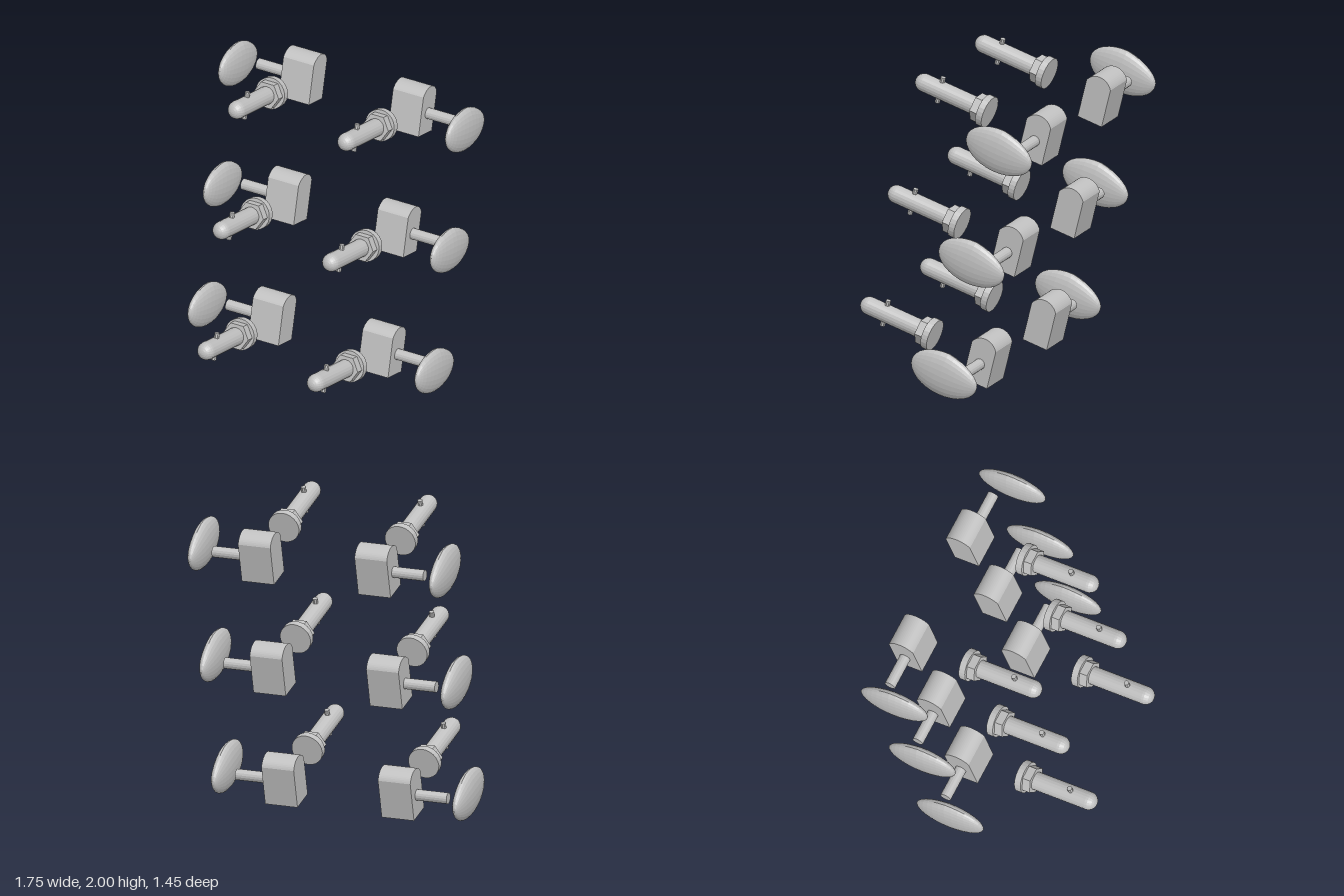
import * as THREE from 'three';

const metal = new THREE.MeshStandardMaterial({ color: 0xc0c0c0, flatShading: true });
metal.name = 'grey metal';

const TILT = THREE.MathUtils.degToRad(14);
const AXIS_Y = 0.135; // height of the post axis above the housing base

function add(parent, name, geometry, x = 0, y = 0, z = 0) {
  const mesh = new THREE.Mesh(geometry, metal);
  mesh.name = name;
  mesh.position.set(x, y, z);
  parent.add(mesh);
}

// cylinder lying along z
const rodZ = (r, length, sides) => new THREE.CylinderGeometry(r, r, length, sides).rotateX(Math.PI / 2);

// gear housing: upright block with an arched top
function housingGeometry() {
  const a = 0.0885, shoulder = 0.265, rise = 0.055;
  const r = (a * a + rise * rise) / (2 * rise);
  const cy = shoulder + rise - r;
  const start = Math.atan2(shoulder - cy, a);
  const shape = new THREE.Shape();
  shape.moveTo(-a, 0);
  shape.lineTo(a, 0);
  shape.lineTo(a, shoulder);
  shape.absarc(0, cy, r, start, Math.PI - start, false);
  shape.closePath();
  const depth = 0.22;
  return new THREE.ExtrudeGeometry(shape, { depth, bevelEnabled: false, curveSegments: 10 })
    .translate(0, 0, -depth / 2)
    .rotateY(-Math.PI / 2);
}

// thumb button: flattened ellipsoid, tapering along its upper rear edge
function buttonGeometry() {
  const g = new THREE.SphereGeometry(1, 24, 16).rotateX(Math.PI / 2);
  const p = g.attributes.position;
  for (let i = 0; i < p.count; i++) {
    const y = p.getY(i), z = p.getZ(i);
    if (y > 0 && z < 0) p.setY(i, y * (1 + 0.2 * z));
  }
  g.scale(0.055, 0.147, 0.24);
  g.computeVertexNormals();
  return g;
}

// string post with a rounded tip: lathe profile turned to point forward
function postGeometry() {
  const r = 0.059, length = 0.465;
  const profile = [new THREE.Vector2(0, 0), new THREE.Vector2(r, 0)];
  for (let i = 0; i <= 6; i++) {
    const t = (i / 6) * Math.PI / 2;
    profile.push(new THREE.Vector2(i === 6 ? 0 : r * Math.cos(t), length + r * Math.sin(t)));
  }
  return new THREE.LatheGeometry(profile, 20).rotateX(Math.PI / 2);
}

const parts = {
  housing: housingGeometry(),
  shaft: new THREE.CylinderGeometry(0.036, 0.036, 0.323, 16).rotateZ(Math.PI / 2),
  button: buttonGeometry(),
  flange: rodZ(0.104, 0.045, 24),
  nut: new THREE.CylinderGeometry(0.092, 0.092, 0.055, 6).rotateY(Math.PI / 6).rotateX(Math.PI / 2),
  post: postGeometry(),
  pin: new THREE.CylinderGeometry(0.017, 0.017, 0.182, 8),
};

// one tuning machine; side is +1 for the left, -1 for the right
function createTuner(side) {
  const tuner = new THREE.Group();
  add(tuner, 'gearHousing', parts.housing);
  add(tuner, 'buttonShaft', parts.shaft, side * 0.1615, 0.14, 0);
  add(tuner, 'button', parts.button, side * 0.425, 0.139, 0.086);
  add(tuner, 'flange', parts.flange, 0, AXIS_Y, 0.4135);
  add(tuner, 'hexNut', parts.nut, 0, AXIS_Y, 0.4635);
  add(tuner, 'stringPost', parts.post, 0, AXIS_Y, 0.41);
  add(tuner, 'crossPin', parts.pin, 0, AXIS_Y, 0.757);
  tuner.rotation.x = -TILT;
  return tuner;
}

export function createModel() {
  const model = new THREE.Group();
  model.name = 'tuningMachines';
  for (const side of [1, -1]) {
    for (let i = 0; i < 3; i++) {
      const tuner = createTuner(side);
      tuner.name = `${side > 0 ? 'left' : 'right'}Tuner${i + 1}`;
      tuner.position.set(side * 0.397, 0.024 + i * 0.787, -0.15 - i * 0.197);
      model.add(tuner);
    }
  }
  return model;
}
